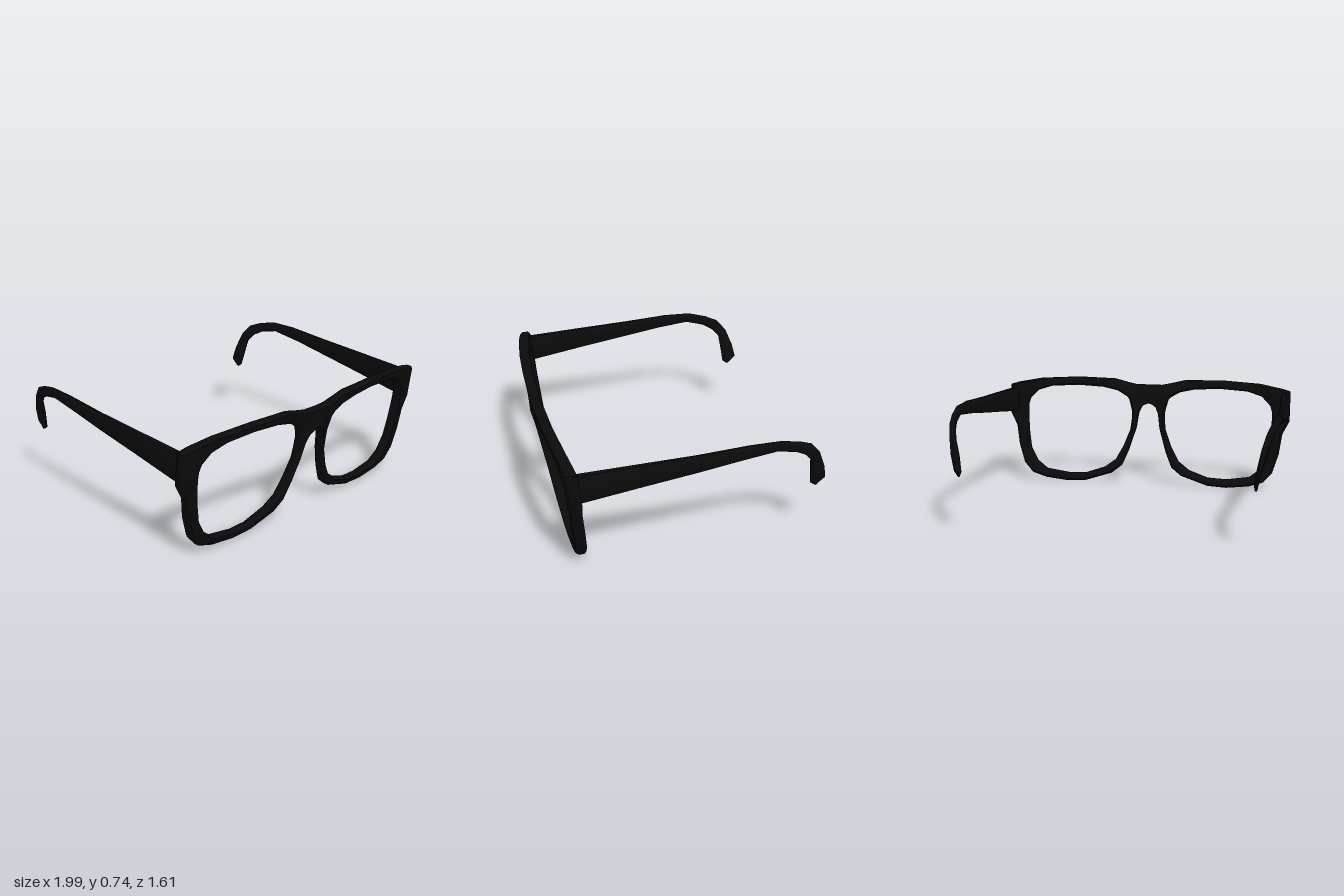
import * as THREE from 'three';
import { toCreasedNormals } from 'three/addons/utils/BufferGeometryUtils.js';

// Skin a list of equal cross-sections; closed joins last to first, otherwise ends are capped.
function loft(sections, closed, side) {
  const n = sections.length, m = sections[0].length;
  const pos = [], idx = [];
  for (const s of sections) for (const [x, y, z] of s) pos.push(x * side, y, z);
  const tri = (a, b, c) => (side > 0 ? idx.push(a, b, c) : idx.push(a, c, b));
  for (let i = 0; i < (closed ? n : n - 1); i++) {
    const p = i * m, q = ((i + 1) % n) * m;
    for (let k = 0; k < m; k++) {
      const l = (k + 1) % m;
      tri(p + k, q + k, q + l);
      tri(p + k, q + l, p + l);
    }
  }
  if (!closed) {
    const e = (n - 1) * m;
    for (let k = 1; k < m - 1; k++) {
      tri(0, k, k + 1);
      tri(e, e + k + 1, e + k);
    }
  }
  const g = new THREE.BufferGeometry();
  g.setAttribute('position', new THREE.Float32BufferAttribute(pos, 3));
  g.setIndex(idx);
  return toCreasedNormals(g, 0.9);
}

// Rim outline pairs: outer x, y and lens opening x, y
const RIM = [
  [0, .70, .14, .60], [0, .57, .118, .52], [.045, .555, .117, .49], [.07, .50, .117, .455],
  [.085, .395, .125, .385], [.135, .235, .17, .27], [.18, .13, .225, .17], [.25, .075, .305, .11],
  [.44, .015, .44, .065], [.57, .008, .57, .06], [.73, .027, .73, .085], [.83, .06, .80, .14],
  [.89, .13, .85, .235], [.93, .26, .865, .34], [.95, .40, .872, .43], [.995, .49, .875, .50],
  [.995, .59, .873, .55], [.995, .69, .86, .59], [.94, .705, .80, .65], [.785, .732, .70, .68],
  [.51, .745, .51, .69], [.25, .737, .33, .68], [.16, .715, .225, .657], [.09, .70, .16, .62],
];

// Front surface: leans back towards the bottom and wraps towards the sides
function frontZ(x, y) {
  const wrap = 0.07 * Math.pow(Math.max(x, 0), 2.5) * (0.4 + 0.6 * y / 0.7);
  return 0.79 - 0.17 * (0.7 - y) - wrap + 0.01 + 0.015 * Math.exp(-((x / 0.08) ** 2)) * (y < 0.65 ? 1 : 0.3);
}

function rimSection([ox, oy, ix, iy]) {
  const T = 0.065, C = 0.016, R = 0.014;
  const len = Math.hypot(ix - ox, iy - oy);
  const dx = (ix - ox) / len * R, dy = (iy - oy) / len * R;
  // On the centre line the rounding runs vertically so both halves meet flush
  const [ex, ey] = ox === 0 ? [0, oy > 0.6 ? -R : R] : [dx, dy];
  const p = (x, y, depth) => [x, y, frontZ(x, y) - depth];
  return [
    p(ox, oy, T - C), p(ox, oy, C), p(ox + ex, oy + ey, 0), p(ix - dx, iy - dy, 0),
    p(ix, iy, C), p(ix, iy, T - C), p(ix - dx, iy - dy, T), p(ox + ex, oy + ey, T),
  ];
}

// Temple stations: top z, y, bottom z, y, inner x, outer x
const TEMPLE = [
  [.68, .668, .67, .497, .932, .985], [.3, .69, .3, .555, .945, .985], [0, .706, 0, .60, .953, .985],
  [-.3, .728, -.25, .64, .955, .982], [-.48, .728, -.46, .667, .950, .975],
  [-.60, .70, -.58, .64, .932, .958], [-.68, .668, -.645, .605, .915, .942],
  [-.74, .60, -.69, .555, .895, .925], [-.785, .49, -.703, .47, .873, .905],
  [-.808, .40, -.715, .372, .86, .88],
];

function templeSection([tz, ty, bz, by, xi, xo]) {
  const c = 0.009, f = 0.14;
  const at = (x, t) => [x, by + (ty - by) * t, bz + (tz - bz) * t];
  return [
    at(xo, f), at(xo, 1 - f), at(xo - c, 1), at(xi + c, 1),
    at(xi, 1 - f), at(xi, f), at(xi + c, 0), at(xo - c, 0),
  ];
}

export function createModel() {
  const model = new THREE.Group();
  model.name = 'glasses';
  const black = new THREE.MeshStandardMaterial({ color: 0x0b0b0b });
  black.name = 'black plastic';

  const rim = RIM.map(rimSection);
  const temple = TEMPLE.map(templeSection);
  // Pointed lower end of the ear hook
  const tip = temple[temple.length - 1].map(([x, y, z]) => [
    0.87 + (x - 0.87) * 0.7, y - 0.022, -0.762 + (z + 0.762) * 0.3,
  ]);
  temple.push(tip);

  for (const side of [1, -1]) {
    const label = side > 0 ? 'left' : 'right';
    const add = (name, geometry) => {
      const mesh = new THREE.Mesh(geometry, black);
      mesh.name = label + name;
      model.add(mesh);
    };
    add('RimAndBridge', loft(rim, true, side));
    add('Temple', loft(temple, false, side));
  }
  return model;
}
